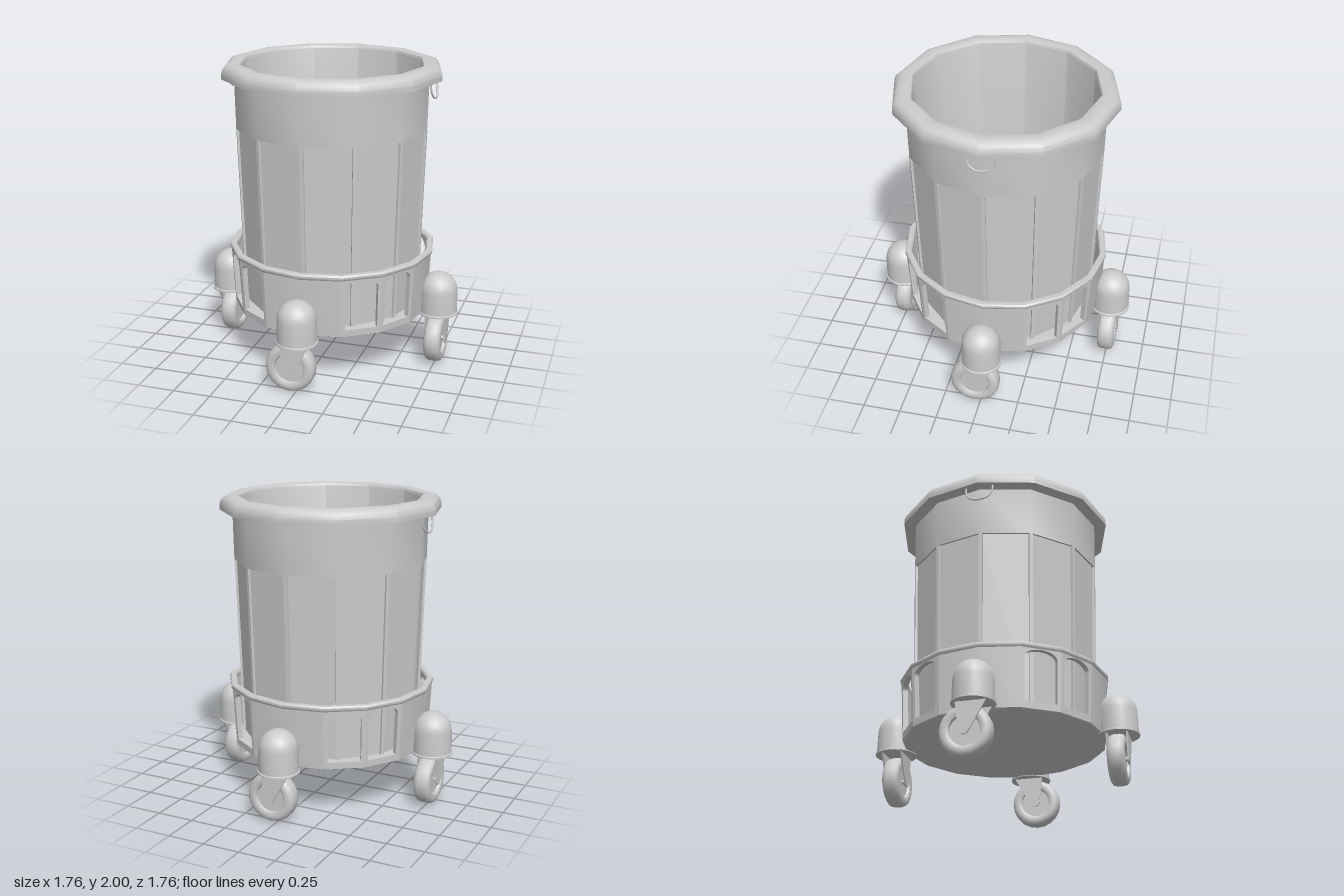
import * as THREE from 'three';
import { toCreasedNormals } from 'three/addons/utils/BufferGeometryUtils.js';

const material = new THREE.MeshStandardMaterial({ color: 0xcccccc });
const SIDES = 12;      // bin facets
const RING_SIDES = 16; // dolly facets
const STEP = (Math.PI * 2) / RING_SIDES;

function add(parent, name, geometry) {
  const mesh = new THREE.Mesh(geometry, material);
  mesh.name = name;
  parent.add(mesh);
  return mesh;
}

// Lathe from [radius, y] pairs, keeping edges sharper than the crease angle
function lathe(points, sides, crease = 0.6, start = 0, length = Math.PI * 2) {
  const profile = points.map(([r, y]) => new THREE.Vector2(r, y));
  return toCreasedNormals(new THREE.LatheGeometry(profile, sides, start, length), crease);
}

function createBin() {
  const bin = new THREE.Group();
  bin.name = 'bin';

  // Flat panels of the lower body
  add(bin, 'binPanels', lathe([[0, 0.385], [0.588, 0.385], [0.624, 1.575]], SIDES, 0.2));

  // Smooth upper band, rolled rim, inner wall and floor
  add(bin, 'binRimAndLining', lathe([
    [0.62, 1.575], [0.637, 1.575], [0.643, 1.905],
    [0.725, 1.905], [0.726, 1.94], [0.715, 1.97], [0.695, 1.99], [0.665, 2],
    [0.625, 2], [0.605, 1.995], [0.597, 1.98],
    [0.55, 0.42], [0, 0.42],
  ], SIDES));

  // Upright ribs along the panel corners
  const bottom = 0.385, top = 1.58, rBottom = 0.6, rTop = 0.636;
  const ribGeometry = new THREE.BoxGeometry(0.025, top - bottom, 0.03);
  for (let i = 0; i < SIDES; i++) {
    const pivot = new THREE.Group();
    pivot.name = 'ribPivot';
    pivot.rotation.y = (i * Math.PI * 2) / SIDES;
    const rib = add(pivot, 'rib', ribGeometry);
    rib.position.set(0, (bottom + top) / 2, (rBottom + rTop) / 2 - 0.015);
    rib.rotation.x = Math.atan2(rTop - rBottom, top - bottom);
    bin.add(pivot);
  }

  // Wire loops hanging under the rim on both sides
  for (const side of [1, -1]) {
    const path = new THREE.CatmullRomCurve3([
      [0.67, 1.915, -0.09], [0.676, 1.86, -0.087], [0.685, 1.815, -0.06], [0.69, 1.797, 0],
      [0.685, 1.815, 0.06], [0.676, 1.86, 0.087], [0.67, 1.915, 0.09],
    ].map(([x, y, z]) => new THREE.Vector3(x * side, y, z)));
    add(bin, 'wireHandle', new THREE.TubeGeometry(path, 24, 0.006, 6));
  }
  return bin;
}

// Flat ring facet with an arched window, standing on its own bottom edge
function windowPanelGeometry(rBottom, rTop, height) {
  const half = Math.tan(STEP / 2) ;
  const wb = rBottom * half, wt = rTop * half;
  const shape = new THREE.Shape([
    new THREE.Vector2(-wb, 0), new THREE.Vector2(wb, 0),
    new THREE.Vector2(wt, height), new THREE.Vector2(-wt, height),
  ]);
  const hole = new THREE.Path();
  hole.moveTo(-0.107, 0.045);
  hole.lineTo(-0.107, 0.33);
  hole.absellipse(0, 0.33, 0.107, 0.055, Math.PI, 0, true);
  hole.lineTo(0.107, 0.045);
  hole.closePath();
  shape.holes.push(hole);
  const geometry = new THREE.ExtrudeGeometry(shape, { depth: 0.035, bevelEnabled: false, curveSegments: 10 });
  return geometry.translate(0, 0, -0.035);
}

function createDolly() {
  const dolly = new THREE.Group();
  dolly.name = 'dolly';
  const y0 = 0.345, y1 = 0.75, r0 = 0.664, r1 = 0.686;

  add(dolly, 'basePlate', lathe([[0, 0.34], [0.655, 0.34], [r0, 0.35], [r0 + 0.001, 0.385], [0, 0.385]], RING_SIDES));
  add(dolly, 'ringLip', lathe([
    [0.648, 0.735], [r1, 0.735], [0.694, 0.747], [0.694, 0.76], [0.686, 0.77],
    [0.656, 0.77], [0.648, 0.76], [0.648, 0.735],
  ], RING_SIDES));

  // Two windowed facets at each corner, solid wall behind each caster
  const toFlat = Math.cos(STEP / 2);
  const panelGeometry = windowPanelGeometry(r0 * toFlat, r1 * toFlat, y1 - y0);
  const wallGeometry = lathe([
    [r0 - 0.035, y0], [r0, y0], [r1, y1], [r1 - 0.035, y1], [r0 - 0.035, y0],
  ], 2, 0.6, -STEP, STEP * 2);
  for (let q = 0; q < 4; q++) {
    const turn = (q * Math.PI) / 2;
    add(dolly, 'ringWall', wallGeometry).rotation.y = turn;
    for (const facet of [1.5, 2.5]) {
      const pivot = new THREE.Group();
      pivot.name = 'windowPanelPivot';
      pivot.rotation.y = turn + facet * STEP;
      const panel = add(pivot, 'windowPanel', panelGeometry);
      panel.position.set(0, y0, r0 * toFlat);
      panel.rotation.x = Math.atan2((r1 - r0) * toFlat, y1 - y0);
      dolly.add(pivot);
    }
  }
  return dolly;
}

// One caster, centred on its swivel axis, wheel trailing toward -x
function createCaster() {
  const caster = new THREE.Group();
  caster.name = 'caster';
  const trail = -0.04, axleY = 0.164;

  // Domed housing with a thin foot flange
  const housing = [[0, 0.335], [0.137, 0.335], [0.137, 0.346], [0.13, 0.35], [0.127, 0.495]];
  for (let i = 1; i <= 7; i++) {
    const a = (i / 7) * Math.PI / 2;
    housing.push([0.127 * Math.cos(a), 0.495 + 0.123 * Math.sin(a)]);
  }
  add(caster, 'housing', lathe(housing, 20));

  // Tapered fork plates on both sides of the wheel
  const tip = 0.034;
  const plate = new THREE.Shape();
  plate.moveTo(0.1, 0.34);
  plate.lineTo(-0.095, 0.34);
  plate.lineTo(trail - tip, axleY + 0.01);
  plate.absarc(trail, axleY, tip, Math.PI, Math.PI * 1.85, false);
  plate.closePath();
  const plateGeometry = new THREE.ExtrudeGeometry(plate, { depth: 0.01, bevelEnabled: false, curveSegments: 8 });
  for (const z of [0.059, -0.069]) add(caster, 'forkPlate', plateGeometry).position.z = z;

  // Wheel with rounded tyre and recessed hub
  const half = [[0, 0.035], [0.094, 0.035], [0.099, 0.05], [0.112, 0.056], [0.138, 0.055], [0.156, 0.044], [0.163, 0.022]];
  const profile = [...half.map(([r, y]) => [r, -y]), ...half.slice().reverse()];
  const wheel = add(caster, 'wheel', lathe(profile, 20, 0.75).rotateX(Math.PI / 2));
  wheel.position.set(trail, axleY, 0);
  const axle = add(caster, 'axle', new THREE.CylinderGeometry(0.015, 0.015, 0.13, 10).rotateX(Math.PI / 2));
  axle.position.set(trail, axleY, 0);
  return caster;
}

export function createModel() {
  const model = new THREE.Group();
  model.name = 'wheeledBin';
  model.add(createBin(), createDolly());
  for (let q = 0; q < 4; q++) {
    const caster = createCaster();
    const angle = (q * Math.PI) / 2;
    caster.rotation.y = angle;
    caster.position.set(Math.sin(angle) * 0.745, 0, Math.cos(angle) * 0.745);
    model.add(caster);
  }
  return model;
}
